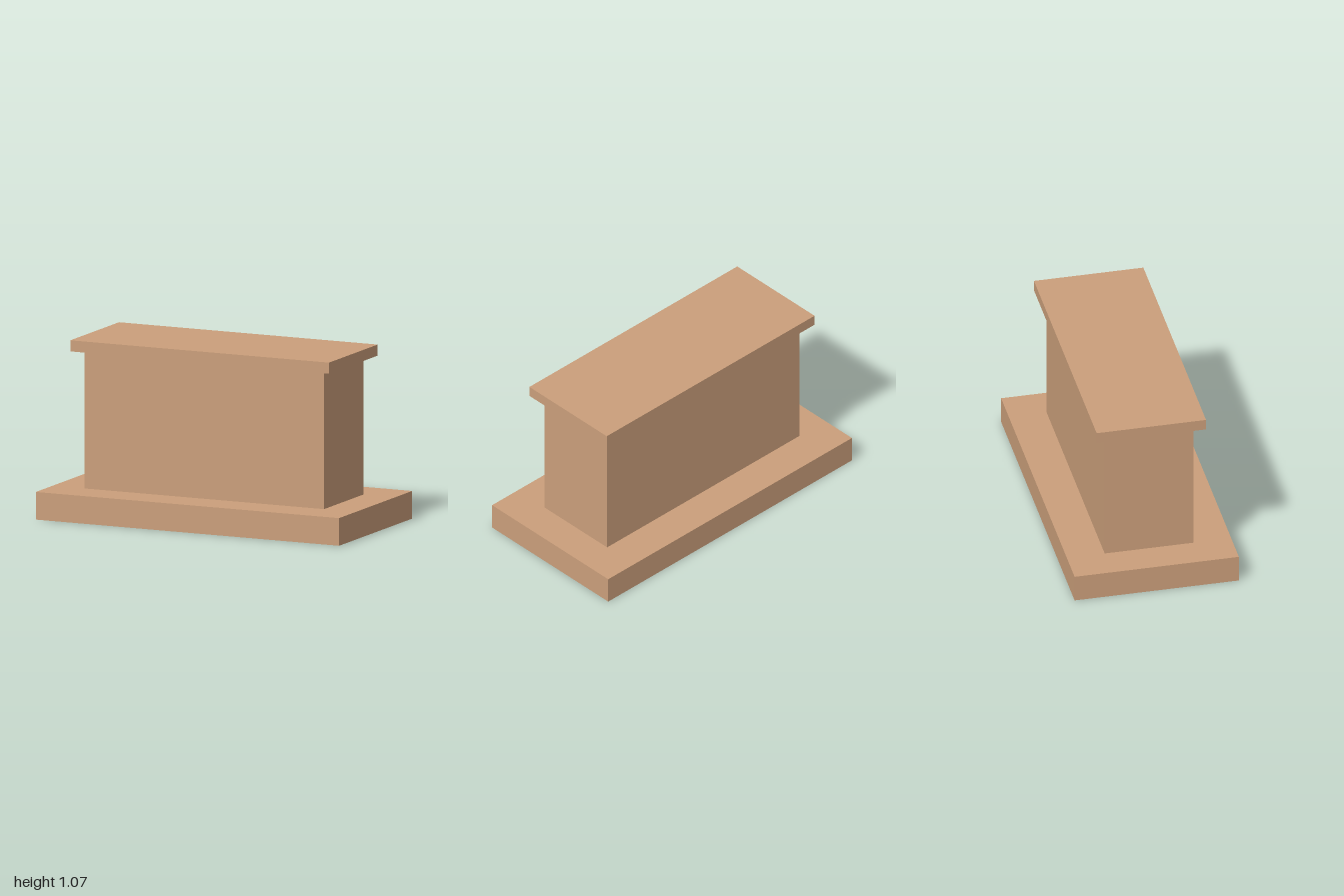
import * as THREE from 'three';

export function createModel() {
  const model = new THREE.Group();
  model.name = 'pedestal';
  const clay = new THREE.MeshStandardMaterial({ color: 0xcb9f7b });
  clay.name = 'tan clay';

  // Adds a centred block spanning the heights bottom to top
  function addBlock(name, width, depth, bottom, top) {
    const mesh = new THREE.Mesh(new THREE.BoxGeometry(width, top - bottom, depth), clay);
    mesh.name = name;
    mesh.position.y = (bottom + top) / 2;
    model.add(mesh);
  }

  addBlock('base', 2, 1, 0, 0.167);
  addBlock('body', 1.58, 0.54, 0.167, 1);
  addBlock('cap', 1.706, 0.666, 1, 1.067);

  return model;
}
